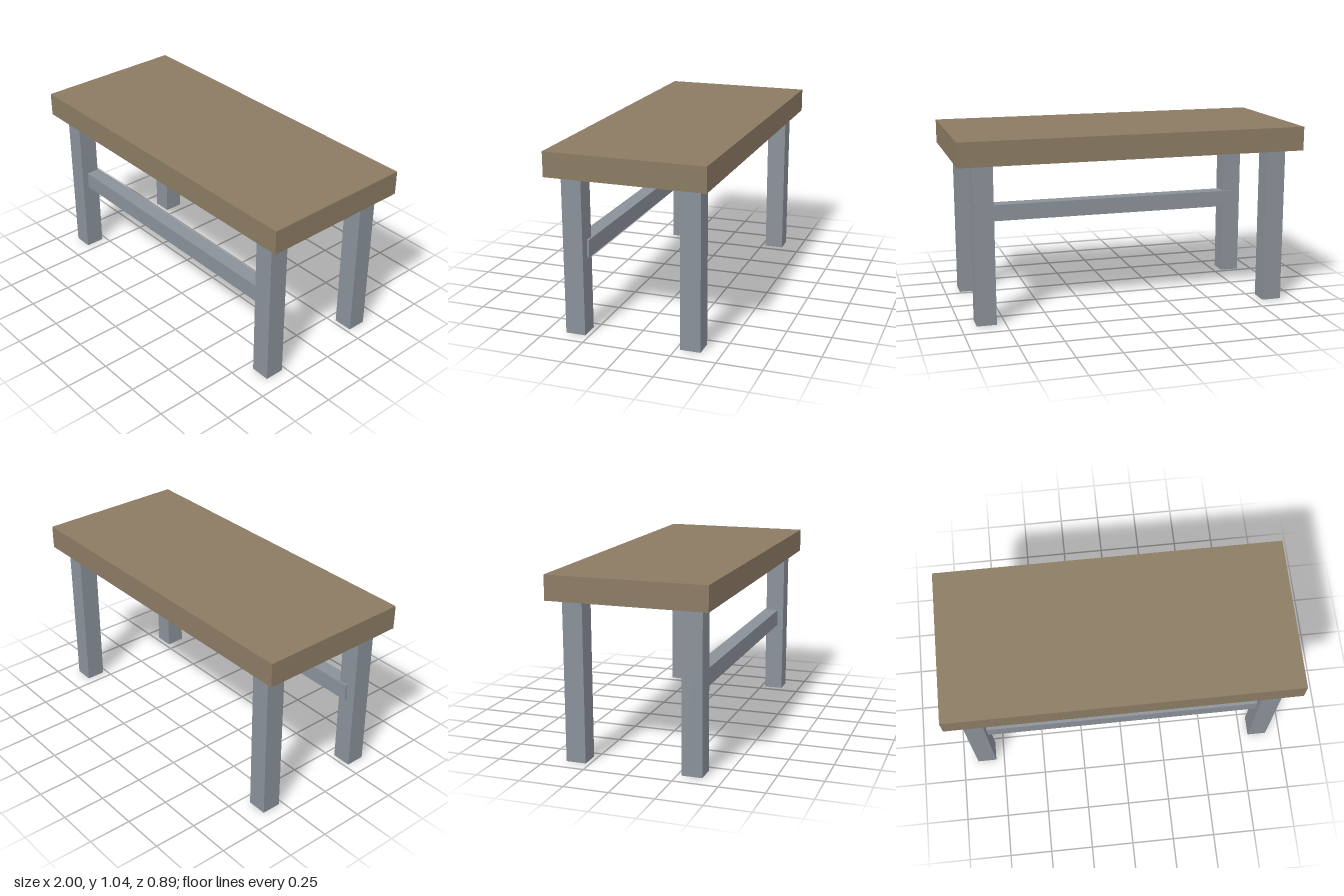
import * as THREE from 'three';

export function createModel() {
  const table = new THREE.Group();
  table.name = 'table';

  const wood = new THREE.MeshStandardMaterial({ color: 0x8b7b63 });
  wood.name = 'brown wood';
  const metal = new THREE.MeshStandardMaterial({ color: 0x8a9199 });
  metal.name = 'grey frame';

  function box(name, material, size, position) {
    const mesh = new THREE.Mesh(new THREE.BoxGeometry(...size), material);
    mesh.name = name;
    mesh.position.set(...position);
    table.add(mesh);
  }

  // Thick slab top
  box('tableTop', wood, [2, 0.138, 0.892], [0, 0.973, 0]);

  // Four square legs, inset from the edges
  const legX = 0.857, legZ = 0.331, legHeight = 0.904;
  for (const [side, sx] of [['left', 1], ['right', -1]]) {
    for (const [end, sz] of [['Front', 1], ['Back', -1]]) {
      box(`${side}${end}Leg`, metal, [0.113, legHeight, 0.113],
        [sx * legX, legHeight / 2, sz * legZ]);
    }
  }

  // Stretcher between the front leg centres, slightly proud of their inner faces
  box('frontStretcher', metal, [2 * legX, 0.1, 0.087], [0, 0.482, 0.3065]);

  return table;
}
